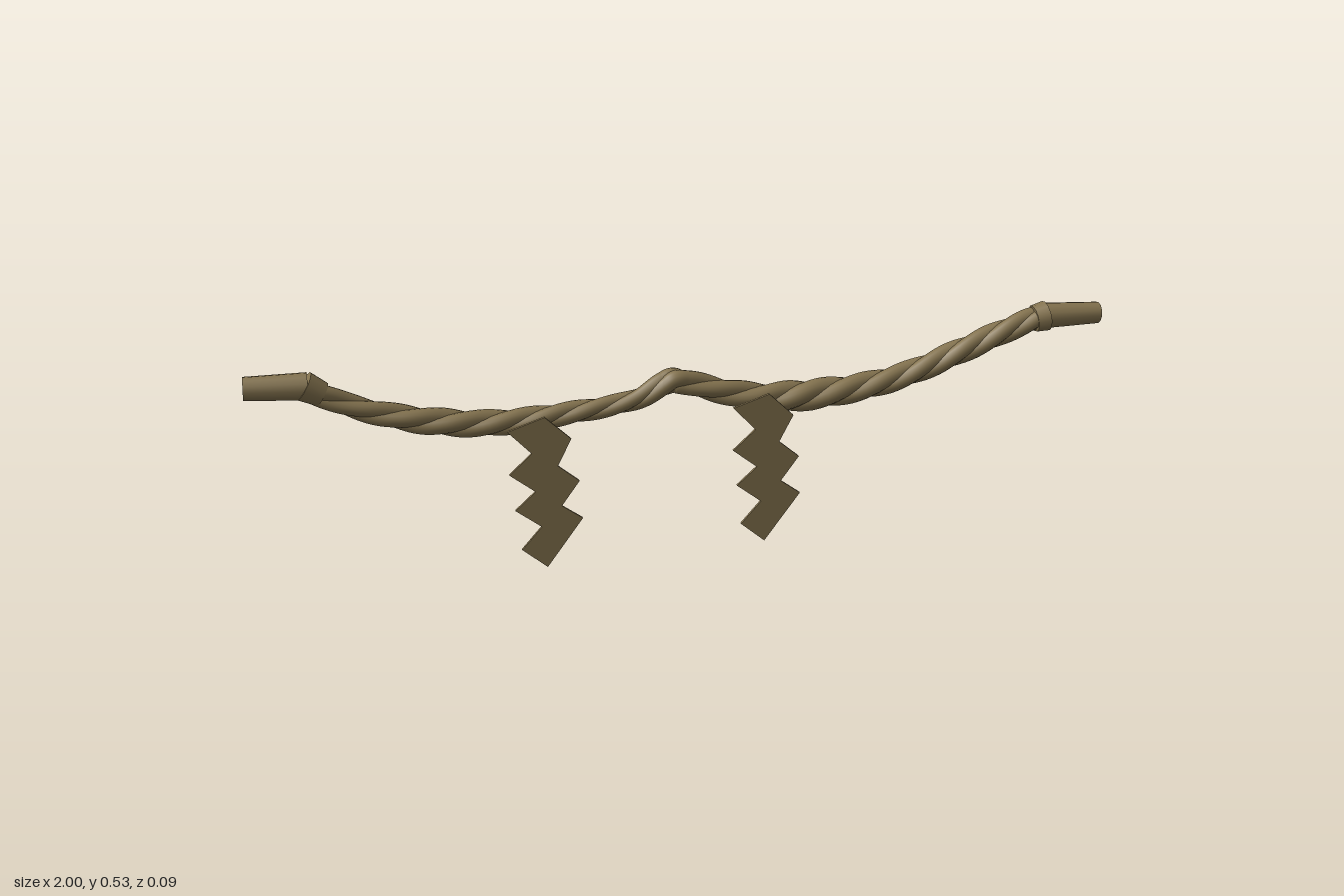
import * as THREE from 'three';

const strawMat = new THREE.MeshStandardMaterial({ color: 0x84734f });
strawMat.name = 'straw';

// Rope centre line: x, y and rope radius at each station
const stations = [
  [-0.87, 0.487, 0.029], [-0.78, 0.436, 0.027], [-0.7, 0.405, 0.029], [-0.6, 0.378, 0.032],
  [-0.47, 0.36, 0.031], [-0.3, 0.365, 0.027], [-0.14, 0.383, 0.025], [-0.075, 0.412, 0.029],
  [-0.05, 0.421, 0.031], [-0.02, 0.413, 0.03], [0.06, 0.384, 0.031], [0.16, 0.357, 0.035],
  [0.25, 0.351, 0.038], [0.4, 0.357, 0.034], [0.52, 0.379, 0.031], [0.67, 0.431, 0.031],
  [0.8, 0.478, 0.03], [0.87, 0.497, 0.029],
];
const ropeZ = -0.005;

// One strand twisted around the centre line
function strandGeometry(phase) {
  const curve = new THREE.CatmullRomCurve3(stations.map((s) => new THREE.Vector3(...s)));
  const rings = 160, sides = 14, pitch = 0.3;
  const positions = [], index = [];
  for (let i = 0; i <= rings; i++) {
    const p = curve.getPoint(i / rings);
    const t = curve.getTangent(i / rings);
    const len = Math.hypot(t.x, t.y);
    const nx = -t.y / len, ny = t.x / len, r = p.z;
    const twist = phase - (p.x / pitch) * Math.PI * 2;
    for (let j = 0; j < sides; j++) {
      const a = (j / sides) * Math.PI * 2;
      const u = r * (0.35 * Math.cos(twist) + 0.66 * Math.cos(a));
      const v = r * (0.35 * Math.sin(twist) + 0.66 * Math.sin(a));
      positions.push(p.x + nx * u, p.y + ny * u, ropeZ + v);
      if (i < rings) {
        const k = i * sides + j, k1 = i * sides + ((j + 1) % sides);
        index.push(k, k1, k + sides, k1, k1 + sides, k + sides);
      }
    }
  }
  const g = new THREE.BufferGeometry();
  g.setAttribute('position', new THREE.Float32BufferAttribute(positions, 3));
  g.setIndex(index);
  g.computeVertexNormals();
  return g;
}

// Round bar from a to b with a radius at each end
function bar(name, a, b, ra, rb) {
  const from = new THREE.Vector3(...a, ropeZ), to = new THREE.Vector3(...b, ropeZ);
  const dir = to.clone().sub(from);
  const mesh = new THREE.Mesh(new THREE.CylinderGeometry(rb, ra, dir.length(), 12), strawMat);
  mesh.name = name;
  mesh.position.copy(from).add(to).multiplyScalar(0.5);
  mesh.quaternion.setFromUnitVectors(new THREE.Vector3(0, 1, 0), dir.normalize());
  return mesh;
}

// Folded paper streamer outline
function streamerGeometry() {
  const outline = [
    [-0.443, 0.353], [-0.39, 0.294], [-0.443, 0.246], [-0.385, 0.198], [-0.433, 0.155],
    [-0.374, 0.107], [-0.422, 0.053], [-0.364, 0.001], [-0.278, 0.118], [-0.326, 0.155],
    [-0.283, 0.214], [-0.332, 0.257], [-0.299, 0.321], [-0.358, 0.38],
  ];
  const shape = new THREE.Shape(outline.map(([x, y]) => new THREE.Vector2(x, y)));
  return new THREE.ExtrudeGeometry(shape, { depth: 0.006, bevelEnabled: false });
}

export function createModel() {
  const model = new THREE.Group();
  model.name = 'ropeWithStreamers';

  // Twisted rope
  const rope = new THREE.Group();
  rope.name = 'rope';
  for (let k = 0; k < 3; k++) {
    const strand = new THREE.Mesh(strandGeometry((k / 3) * Math.PI * 2), strawMat);
    strand.name = 'strand';
    rope.add(strand);
  }
  model.add(rope);

  // Plain bound ends, flaring into a collar where the rope begins
  model.add(
    bar('rightEnd', [-1, 0.498], [-0.865, 0.49], 0.026, 0.031),
    bar('rightCollar', [-0.872, 0.491], [-0.835, 0.468], 0.034, 0.028),
    bar('leftEnd', [0.855, 0.495], [1, 0.49], 0.031, 0.026),
    bar('leftCollar', [0.835, 0.489], [0.866, 0.494], 0.032, 0.036),
  );

  // Hanging zigzag streamers
  const paper = streamerGeometry();
  for (const [name, x, y, z] of [['rightStreamer', 0, 0, 0.034], ['leftStreamer', 0.521, 0.006, 0.043]]) {
    const streamer = new THREE.Mesh(paper, strawMat);
    streamer.name = name;
    streamer.position.set(x, y, z);
    model.add(streamer);
  }
  return model;
}
